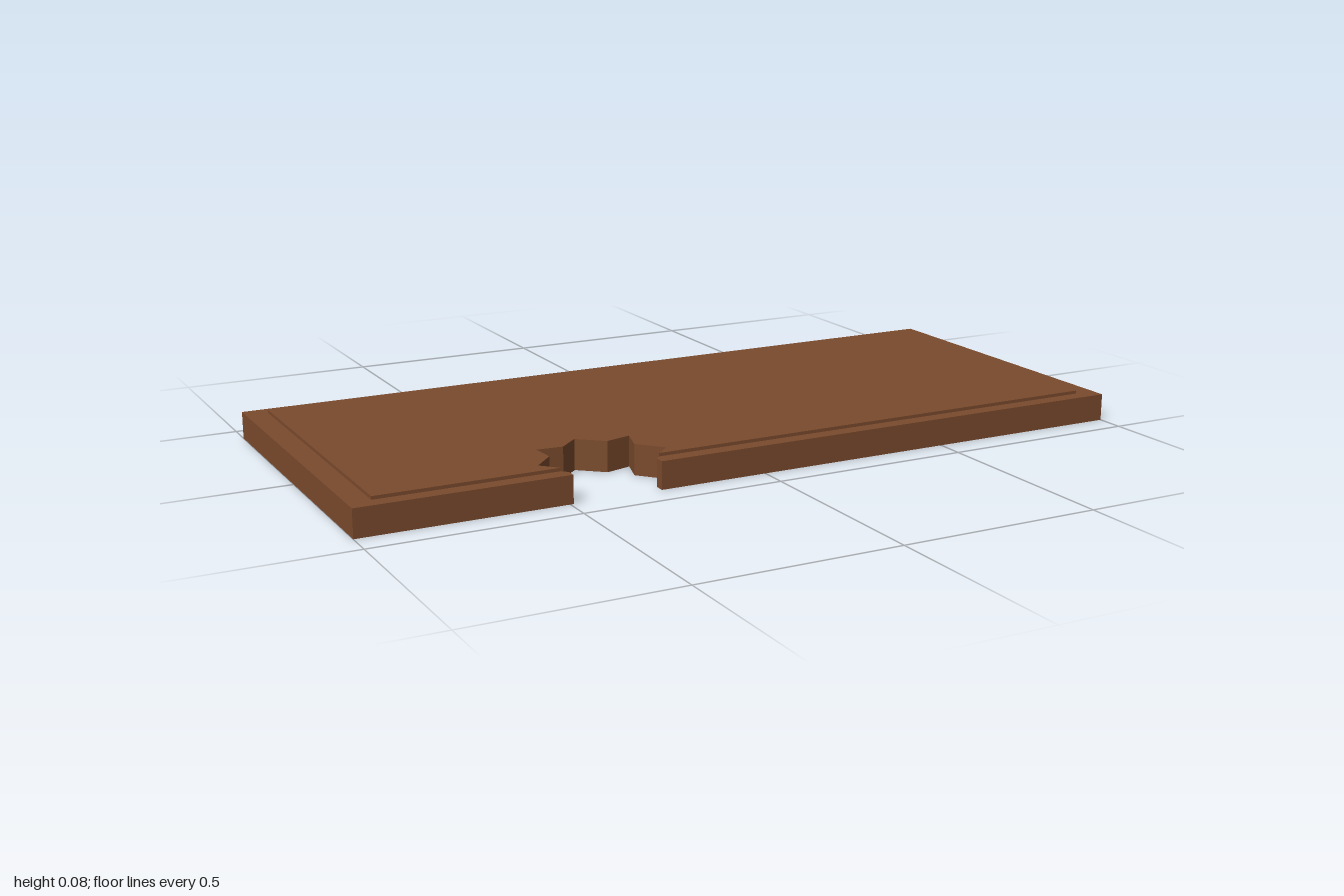
import * as THREE from 'three';

export function createModel() {
  const model = new THREE.Group();
  const wood = new THREE.MeshStandardMaterial({ color: 0x7a4a2c });
  const HALF_X = 1, HALF_Z = 0.43, BOARD_TOP = 0.068, PANEL_TOP = 0.076, SLOT_DEPTH = 0.015;

  // Jagged bite in the front edge, as [x, z] points from its right end to its left end
  const bite = [
    [-0.272, 0.405], [-0.225, 0.36], [-0.277, 0.30], [-0.257, 0.232], [-0.322, 0.25],
    [-0.383, 0.198], [-0.432, 0.243], [-0.497, 0.238], [-0.492, 0.30], [-0.543, 0.353], [-0.492, 0.407],
  ];

  function add(name, geometry) {
    const mesh = new THREE.Mesh(geometry, wood);
    mesh.name = name;
    model.add(mesh);
  }

  // Flat slab with the bite cut out of its front edge
  function slab(left, right, halfZ, y0, y1, cut) {
    const outline = [[left, -halfZ], [right, -halfZ], [right, halfZ], ...cut, [left, halfZ]];
    const shape = new THREE.Shape(outline.map(([x, z]) => new THREE.Vector2(x, -z)));
    return new THREE.ExtrudeGeometry(shape, { depth: y1 - y0, bevelEnabled: false })
      .rotateX(-Math.PI / 2).translate(0, y0, 0);
  }

  // Main board, ending at the floor of the side slot
  add('board', slab(-HALF_X, HALF_X - SLOT_DEPTH, HALF_Z, 0, BOARD_TOP,
    [[-0.272, HALF_Z], ...bite, [-0.492, HALF_Z]]));

  // Raised top panel, with the bite clipped at its own front edge
  const panelZ = 0.393;
  add('raisedPanel', slab(-0.945, 0.945, panelZ, BOARD_TOP, PANEL_TOP,
    [[-0.26, panelZ], ...bite.slice(1, -1), [-0.506, panelZ]]));

  // End strip on the left side, with a shallow finger slot
  const rect = (T, x0, y0, x1, y1) => new T([[x0, y0], [x1, y0], [x1, y1], [x0, y1]]
    .map(([x, y]) => new THREE.Vector2(x, y)));
  const end = rect(THREE.Shape, -HALF_Z, 0, HALF_Z, BOARD_TOP);
  end.holes.push(rect(THREE.Path, -0.195, 0.014, 0.208, 0.049));
  add('slottedEnd', new THREE.ExtrudeGeometry(end, { depth: SLOT_DEPTH, bevelEnabled: false })
    .rotateY(Math.PI / 2).translate(HALF_X - SLOT_DEPTH, 0, 0));

  return model;
}
